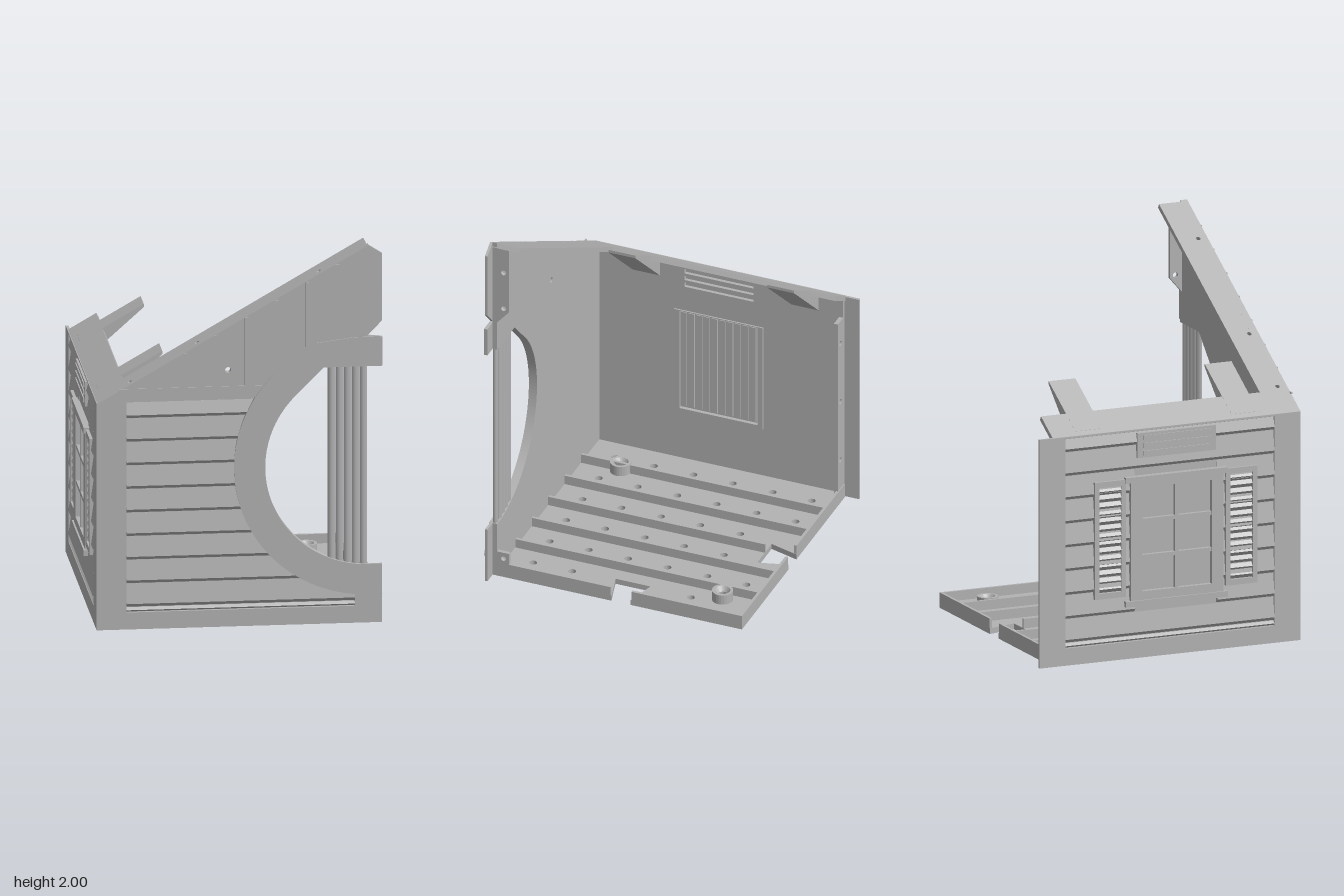
import * as THREE from 'three';

const grey = new THREE.MeshStandardMaterial({ color: 0xb3b3b3 });
grey.name = 'grey plastic';

const mesh = (name, geo, parent) => {
  const m = new THREE.Mesh(geo, grey);
  m.name = name;
  parent.add(m);
  return m;
};
const box = (name, parent, x0, x1, y0, y1, z0, z1) =>
  mesh(name, new THREE.BoxGeometry(x1 - x0, y1 - y0, z1 - z0)
    .translate((x0 + x1) / 2, (y0 + y1) / 2, (z0 + z1) / 2), parent);
const poly = pts => new THREE.Shape(pts.map(p => new THREE.Vector2(...p)));
const rect = (x0, x1, y0, y1) => poly([[x0, y0], [x1, y0], [x1, y1], [x0, y1]]);
const disc = (x, y, r) => new THREE.Shape().absarc(x, y, r, 0, Math.PI * 2);
const plate = (name, parent, shape, z0, z1, holes = []) => {
  shape.holes = holes;
  return mesh(name, new THREE.ExtrudeGeometry(shape,
    { depth: z1 - z0, bevelEnabled: false, curveSegments: 32 }).translate(0, 0, z0), parent);
};
// Lapped board: thin top edge, thick bottom edge with an undercut
const board = (parent, x0, x1, y0, y1, z0, z1) => {
  const m = box('sidingBoard', parent, x0, x1, y0, y1, z0, z1), p = m.geometry.attributes.position;
  for (let i = 0; i < p.count; i++) {
    if (p.getZ(i) < (z0 + z1) / 2) continue;
    if (p.getY(i) > (y0 + y1) / 2) p.setZ(i, z0 + 0.003);
    else p.setY(i, y0 + Math.min(0.02, (y1 - y0) / 2));
  }
  m.geometry.computeVertexNormals();
};
const rowEdges = [0.09];
for (let k = 0; k < 9; k++) rowEdges.push(0.115 + 0.125 * k);
rowEdges.push(1.2);

// Round doorway: circle centre and radii
const CX = 0.67, CY = 0.84, RI = 0.53, RO = 0.69;
const roofY = x => 1.2 + (x + 0.72) * 0.5755;

function wallOutline(tabs) {
  const s = new THREE.Shape();
  const R = tabs ? 0.74 : 0.67;
  s.moveTo(-0.72, 0);
  s.lineTo(R, 0);
  s.lineTo(R, 0.31);
  s.absarc(CX, CY, RI, Math.PI * 1.5, Math.PI * 0.75, true);
  s.lineTo(0.44, 1.36);
  s.lineTo(R, 1.36);
  s.lineTo(R, 1.515);
  if (tabs) [[0.665, 1.522], [0.74, 1.6], [0.74, 1.955]].forEach(p => s.lineTo(...p));
  s.lineTo(0.67, 2.0);
  s.lineTo(-0.72, 1.2);
  return s;
}

function frontWall() {
  const g = new THREE.Group();
  g.name = 'frontWall';
  plate('frontPanel', g, wallOutline(false), 0.69, 0.715, [disc(-0.05, 1.36, 0.015)]);
  // Outer skin with a recess for the siding
  const recess = new THREE.Path();
  recess.moveTo(-0.57, 0.09);
  recess.lineTo(0.6, 0.09);
  recess.absarc(CX, CY, 0.67, Math.PI * 1.467, Math.PI * 0.81, true);
  recess.lineTo(0.1, 1.21);
  recess.lineTo(-0.57, 1.21);
  plate('frontSkin', g, wallOutline(true), 0.715, 0.729, [recess, disc(-0.05, 1.36, 0.015)]);
  // Doorway surround
  const ring = new THREE.Shape();
  ring.moveTo(0.74, 0.31);
  ring.absarc(CX, CY, RI, Math.PI * 1.5, Math.PI * 0.75, true);
  [[0.44, 1.36], [0.74, 1.36], [0.74, 1.515], [0.6, 1.515], [0.4, 1.49]].forEach(p => ring.lineTo(...p));
  ring.absarc(CX, CY, RO, Math.PI * 0.75, Math.PI * 1.5, false);
  ring.lineTo(0.74, 0.15);
  plate('doorwaySurround', g, ring, 0.716, 0.735);
  // Siding that stops behind the surround
  const edge = y => Math.abs(y - CY) >= RO ? 0.6 : Math.min(0.6, CX - Math.sqrt(RO * RO - (y - CY) ** 2));
  for (let i = 0; i < rowEdges.length - 1; i++) {
    const a = rowEdges[i], b = rowEdges[i + 1];
    board(g, -0.57, Math.min(0.6, Math.max(edge(a), edge(b)) + 0.01), a, b, 0.713, 0.732);
  }
  // Gable battens
  box('gableLedge', g, -0.61, 0.14, 1.265, 1.275, 0.725, 0.733);
  [[-0.42, 1.27], [-0.27, 1.27], [-0.11, 1.27], [0.045, 1.27], [0.2, 1.34], [0.355, 1.47], [0.51, 1.51]]
    .forEach(([x, y]) => box('gableBatten', g, x - 0.01, x + 0.01, y, roofY(x - 0.01), 0.725, 0.735));
  // Fluted upright in the doorway
  for (let i = 0; i < 5; i++) {
    const x = 0.481 + i * 0.041, y0 = CY - Math.sqrt(RI * RI - (x - CX) ** 2) - 0.01;
    mesh('flutedUpright', new THREE.CylinderGeometry(0.0225, 0.0225, 1.36 - y0, 6)
      .scale(1, 1, 0.7).translate(x, (1.36 + y0) / 2, 0.708), g);
  }
  return g;
}

// Side wall: local x is depth, local z points outward
function sideWall() {
  const g = new THREE.Group();
  g.name = 'sideWall';
  g.rotation.y = -Math.PI / 2;
  const win = () => rect(-0.185, 0.245, 0.33, 0.915);
  const vents = [1.075, 1.115, 1.155];
  plate('sidePanel', g, rect(-0.655, 0.69, 0, 1.2), 0.69, 0.711,
    [win(), ...vents.map(y => rect(-0.16, 0.22, y - 0.013, y + 0.013))]);
  plate('sideSkin', g, rect(-0.735, 0.728, 0, 1.2), 0.71, 0.724, [rect(-0.59, 0.58, 0.09, 1.2 - 0.01)]);
  for (let i = 0; i < rowEdges.length - 1; i++) {
    const a = rowEdges[i], b = Math.min(rowEdges[i + 1], 1.19);
    if (b > 0.33 && a < 0.92) {
      board(g, -0.59, -0.2, a, b, 0.708, 0.726);
      board(g, 0.26, 0.58, a, b, 0.708, 0.726);
    } else board(g, -0.59, 0.58, a, b, 0.708, 0.726);
  }
  // Window frame, lattice and crossbars
  plate('windowFrameInside', g, rect(-0.215, 0.275, 0.31, 0.92), 0.682, 0.692, [win()]);
  plate('windowFrameOutside', g, rect(-0.23, 0.29, 0.3, 0.94), 0.711, 0.736, [rect(-0.165, 0.225, 0.35, 0.895)]);
  box('windowPane', g, -0.175, 0.245, 0.33, 0.915, 0.702, 0.71);
  for (let i = 0; i < 10; i++)
    box('windowBar', g, -0.172 + i * 0.0425, -0.14 + i * 0.0425, 0.34, 0.905, 0.692, 0.704);
  box('windowMullion', g, 0.02, 0.04, 0.33, 0.915, 0.708, 0.732);
  for (const y of [0.53, 0.72]) box('windowCrossbar', g, -0.185, 0.245, y - 0.01, y + 0.01, 0.708, 0.732);
  box('windowHead', g, -0.26, 0.31, 0.925, 0.955, 0.711, 0.745);
  box('windowSill', g, -0.26, 0.31, 0.275, 0.305, 0.711, 0.745);
  // Louvred shutters
  for (const u of [-0.43, 0.305]) {
    plate('shutterFrame', g, rect(u, u + 0.175, 0.33, 0.945), 0.711, 0.734, [rect(u + 0.025, u + 0.15, 0.36, 0.915)]);
    for (let i = 0; i < 14; i++)
      board(g, u + 0.02, u + 0.155, 0.36 + i * 0.0395, 0.3995 + i * 0.0395, 0.715, 0.731);
  }
  // Vent hood
  plate('ventHood', g, rect(-0.19, 0.25, 1.05, 1.18), 0.711, 0.732, []);
  vents.forEach(y => box('ventSlat', g, -0.16, 0.22, y - 0.012, y + 0.012, 0.725, 0.738));
  return g;
}

function floor() {
  const g = new THREE.Group();
  g.name = 'floor';
  const base = new THREE.Group();
  base.name = 'floorBase';
  base.rotation.x = Math.PI / 2;
  g.add(base);
  const holes = [];
  [-0.56, -0.345, -0.127, 0.09, 0.31, 0.53].forEach((x, i) =>
    [-0.535, -0.32, -0.1, 0.117, 0.335, 0.55].forEach((z, j) => {
      if ((j === 0 && (i === 2 || i === 3 || i === 5)) || (i === 5 && (j === 2 || j === 3))) return;
      holes.push(disc(x, z, 0.02));
    }));
  holes.push(disc(0.482, -0.475, 0.022));
  plate('floorPlate', base, poly([[-0.7, -0.66], [-0.055, -0.66], [-0.1, -0.505], [0.093, -0.505],
    [0.05, -0.66], [0.67, -0.66], [0.67, -0.045], [0.512, -0.09], [0.512, 0.103], [0.67, 0.06],
    [0.67, 0.7], [-0.7, 0.7]]), -0.03, 0, holes);
  // Raised rim and ribs
  box('rimBackRight', g, -0.7, -0.06, 0.02, 0.08, -0.66, -0.645);
  box('rimBackLeft', g, 0.055, 0.67, 0.02, 0.08, -0.66, -0.645);
  box('rimSideBack', g, 0.655, 0.67, 0.02, 0.08, -0.66, -0.05);
  box('rimSideFront', g, 0.655, 0.67, 0.02, 0.08, 0.065, 0.7);
  [-0.455, -0.235, -0.017, 0.202, 0.422].forEach((x, i) =>
    box('floorRib', g, x - 0.008, x + 0.008, 0.02, 0.08, i === 2 ? -0.505 : -0.65, 0.7));
  // Screw bosses
  for (const [x, z] of [[0.482, -0.475], [-0.455, 0.475]]) {
    const pts = [[0.022, 0.02], [0.055, 0.02], [0.055, 0.085], [0.04, 0.085], [0.022, 0.06], [0.022, 0.02]];
    const geo = new THREE.LatheGeometry(pts.map(p => new THREE.Vector2(...p)), 24).toNonIndexed();
    geo.computeVertexNormals();
    mesh('screwBoss', geo, g).position.set(x, 0, z);
  }
  return g;
}

function roofFlanges() {
  const g = new THREE.Group();
  g.name = 'roofFlanges';
  // Sloping lips: local x runs up the slope
  const slope = new THREE.Group();
  slope.name = 'slopingLips';
  slope.position.set(-0.72, 1.2, 0);
  slope.rotation.set(Math.PI / 2, 0, 0);
  const tilt = new THREE.Group();
  tilt.name = 'roofPitch';
  tilt.position.copy(slope.position);
  tilt.rotation.z = Math.atan(0.5755);
  slope.position.set(0, 0, 0);
  tilt.add(slope);
  g.add(tilt);
  plate('frontLip', slope, rect(0, 1.592, 0.567, 0.727), 0, 0.025,
    [0.196, 0.594, 1.315].map(u => disc(u, 0.677, 0.012)));
  plate('sideLip', slope, rect(0, 0.167, -0.66, 0.567), 0, 0.025,
    [-0.445, 0.43].map(z => disc(0.045, z, 0.012)));
  // Roof support tabs
  for (const z of [-0.52, 0.355])
    plate('roofTab', g, poly([[-0.692, 1.095], [-0.363, 1.39], [-0.363, 1.406], [-0.692, 1.217]]), z, z + 0.15);
  // Joining brackets on the open side
  const side = new THREE.Group();
  side.name = 'joiningBrackets';
  side.rotation.y = -Math.PI / 2;
  g.add(side);
  plate('upperBracket', side, poly([[0.7, 1.515], [0.69, 1.525], [0.625, 1.6], [0.625, 1.97], [0.7, 1.97]]),
    -0.67, -0.65, [disc(0.655, 1.83, 0.014), disc(0.655, 1.615, 0.014)]);
  plate('lowerBracket', side, rect(0.625, 0.7, 0.02, 0.145), -0.67, -0.65, [disc(0.655, 0.11, 0.014)]);
  // Upright flange at the back of the side wall
  plate('backFlange', g, rect(-0.7, -0.62, 0.03, 1.085), -0.655, -0.633,
    [0.25, 0.6, 0.95].map(y => disc(-0.655, y, 0.014)));
  return g;
}

export function createModel() {
  const model = new THREE.Group();
  model.name = 'playhouseHalf';
  model.add(frontWall(), sideWall(), floor(), roofFlanges());
  return model;
}
